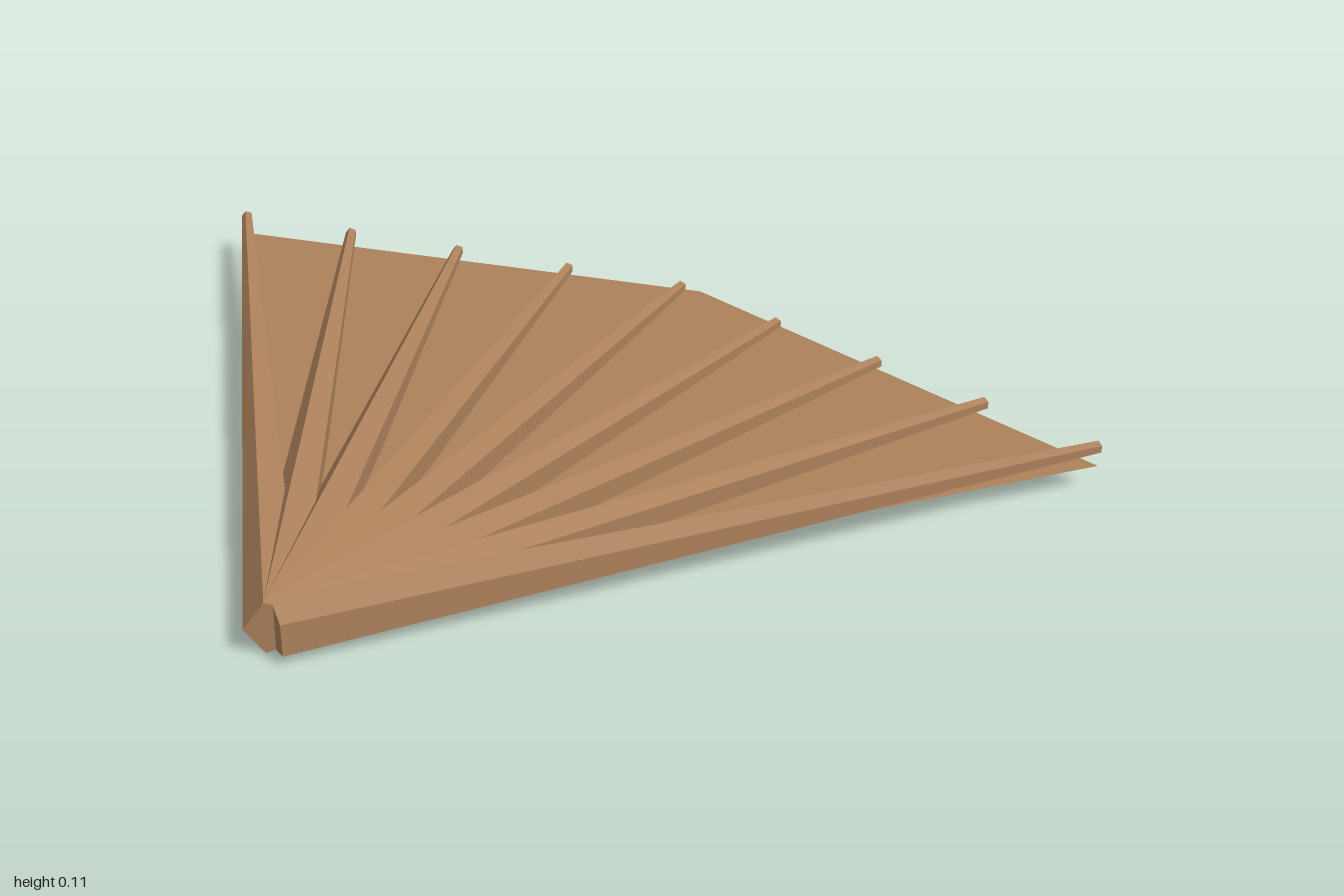
import * as THREE from 'three';

const BROWN = 0xac815b;
const HUB = new THREE.Vector3(0, 0.051, 0.746);
const RIBS = 9;

// Tapered five-sided rib from the hub to its tip, one corner pointing sideways to -x
function makeRib(tip, material) {
  const along = tip.clone().sub(HUB);
  const length = along.length();
  along.normalize();
  const side = new THREE.Vector3().crossVectors(along, new THREE.Vector3(0, 1, 0)).normalize().negate();
  const up = new THREE.Vector3().crossVectors(along, side);
  const geometry = new THREE.CylinderGeometry(0.012, 0.054, length, 5);
  geometry.translate(0, length / 2, 0);
  geometry.applyMatrix4(new THREE.Matrix4().makeBasis(up, along, side).setPosition(HUB));
  return new THREE.Mesh(geometry, material);
}

export function createModel() {
  const model = new THREE.Group();
  model.name = 'fan';
  const ribMaterial = new THREE.MeshStandardMaterial({ color: BROWN, flatShading: true });
  const leafMaterial = new THREE.MeshStandardMaterial({ color: BROWN, flatShading: true, side: THREE.DoubleSide });

  // Ribs spread evenly, tips along two straight lines that meet at the back
  for (let i = 0; i < RIBS; i++) {
    const s = (2 * i) / (RIBS - 1) - 1;
    const tip = new THREE.Vector3(0.99 * s, 0.1, -0.695 + 0.195 * Math.abs(s));
    const rib = makeRib(tip, ribMaterial);
    rib.name = `rib${i + 1}`;
    model.add(rib);
  }

  // Flat kite-shaped leaf, level with the hub
  const kite = new THREE.Shape([
    new THREE.Vector2(0, -HUB.z),
    new THREE.Vector2(0.988, 0.515),
    new THREE.Vector2(0, 0.782),
    new THREE.Vector2(-0.988, 0.515),
  ]);
  const leaf = new THREE.Mesh(new THREE.ShapeGeometry(kite).rotateX(-Math.PI / 2), leafMaterial);
  leaf.name = 'leaf';
  leaf.position.y = HUB.y;
  model.add(leaf);

  return model;
}
